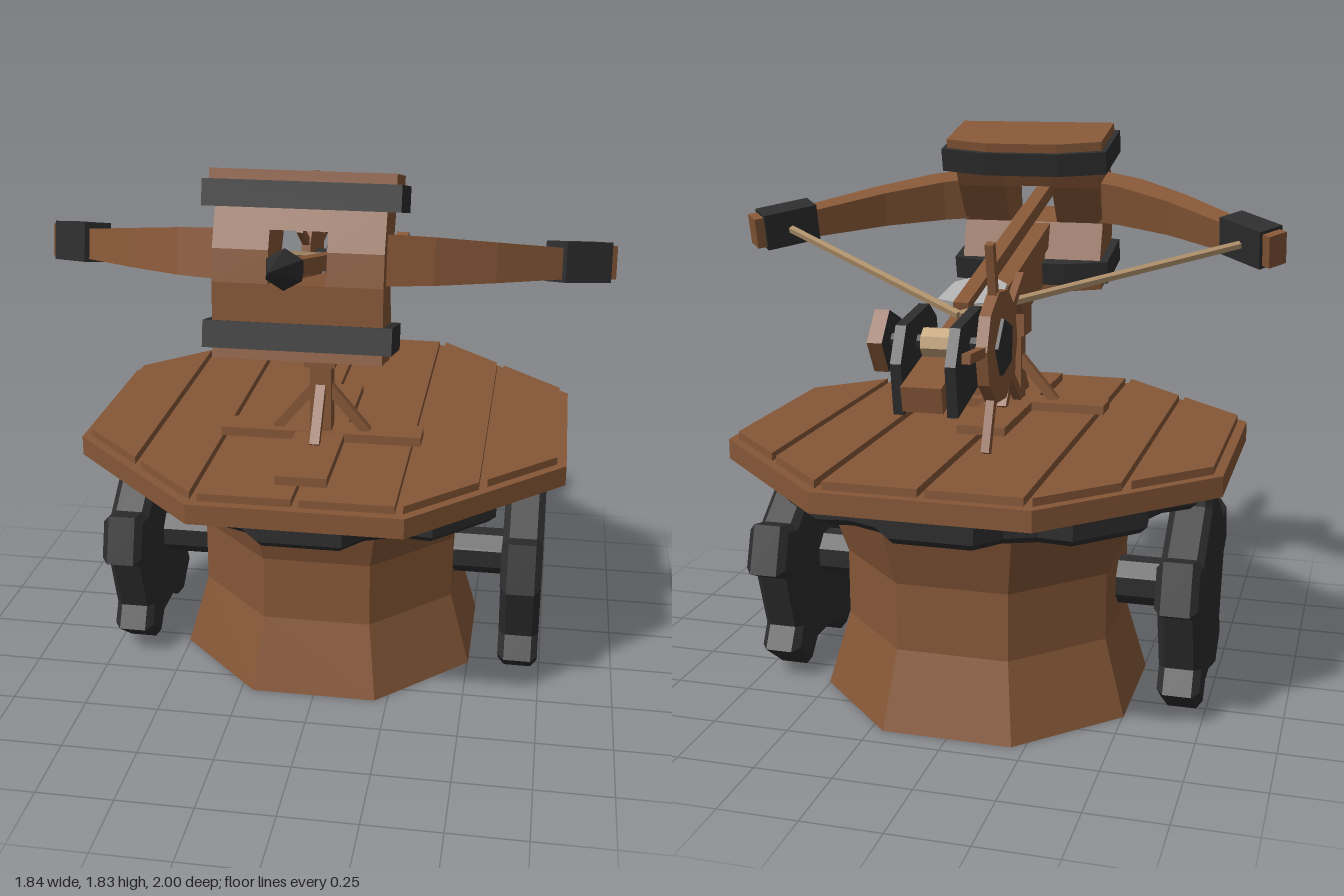
import * as THREE from 'three';

const mat = (name, color) => Object.assign(new THREE.MeshStandardMaterial({ color }), { name });
const wood = mat('wood', 0x865737);
const iron = mat('dark iron', 0x2d2d2d);
const rope = mat('rope', 0xa88b66);
const coil = mat('pale rope coil', 0xc4a57a);
const steel = mat('pale steel', 0xb2b2b2);

const V = (x, y, z) => new THREE.Vector3(x, y, z);

function add(parent, name, geo, material, x = 0, y = 0, z = 0) {
  const g = geo.index ? geo.toNonIndexed() : geo; // faceted normals
  g.computeVertexNormals();
  const m = new THREE.Mesh(g, material);
  m.name = name;
  m.position.set(x, y, z);
  parent.add(m);
  return m;
}

// Box given by its minimum and maximum on each axis
function block(parent, name, material, x0, x1, y0, y1, z0, z1) {
  return add(parent, name, new THREE.BoxGeometry(x1 - x0, y1 - y0, z1 - z0), material,
    (x0 + x1) / 2, (y0 + y1) / 2, (z0 + z1) / 2);
}

function extrude(points, depth, bevel) {
  const shape = new THREE.Shape(points.map(p => new THREE.Vector2(p[0], p[1])));
  const g = new THREE.ExtrudeGeometry(shape, {
    depth: depth - 2 * bevel, bevelEnabled: bevel > 0, bevelThickness: bevel,
    bevelSize: bevel, bevelOffset: -bevel, bevelSegments: 1,
  });
  return g.translate(0, 0, bevel - depth / 2);
}
// Side profile (z, y) given width along x
const sideSlab = (points, width, bevel = 0) => extrude(points, width, bevel).rotateY(-Math.PI / 2);
// Plan outline (x, z) given thickness along y
const flatSlab = (points, thick, bevel = 0) => extrude(points, thick, bevel).rotateX(Math.PI / 2);

// Toothed outline: half angles in degrees at tip and root
function gear(n, R, r, tip, root) {
  const pts = [];
  for (let i = 0; i < n; i++) {
    for (const [rad, off] of [[r, -root], [R, -tip], [R, tip], [r, root]]) {
      const a = Math.PI / 2 + i * 2 * Math.PI / n + off * Math.PI / 180;
      pts.push([rad * Math.cos(a), rad * Math.sin(a)]);
    }
  }
  return pts;
}

// Straight bar between two points
function rod(parent, name, material, a, b, r, sides = 4) {
  const d = b.clone().sub(a);
  const m = add(parent, name, new THREE.CylinderGeometry(r, r, d.length(), sides, 1, false, Math.PI / sides), material);
  m.position.copy(a).add(b).multiplyScalar(0.5);
  m.quaternion.setFromUnitVectors(V(0, 1, 0), d.normalize());
  return m;
}

// Cylinder lying along x
const axleGeo = (r, len, sides) => new THREE.CylinderGeometry(r, r, len, sides, 1, false, Math.PI / 2).rotateZ(Math.PI / 2);

function buildBase(root) {
  // Hollow octagonal pedestal
  const prof = [[0.545, 0], [0.47, 0.25], [0.47, 0.47], [0.545, 0.68], [0.52, 0.68], [0.445, 0.47], [0.445, 0.25], [0.52, 0], [0.545, 0]];
  add(root, 'pedestal', new THREE.LatheGeometry(prof.map(p => new THREE.Vector2(...p)), 8, Math.PI / 8), wood, 0, 0, -0.17);

  // Toothed wheels on an axle
  add(root, 'axle', axleGeo(0.08, 1.3, 8).rotateX(Math.PI / 8), iron, 0, 0.37, -0.115);
  for (const s of [-1, 1])
    add(root, 'toothedWheel', sideSlab(gear(5, 0.395, 0.315, 12, 17), 0.135, 0.022), iron, s * 0.675, 0.37, -0.115);

  // Turntable gear and its hub
  add(root, 'turntableGear', flatSlab(gear(8, 0.71, 0.645, 10.7, 18), 0.1, 0.022), iron, 0, 0.72, -0.115);
  add(root, 'turntableHub', new THREE.CylinderGeometry(0.2, 0.2, 0.1, 8), iron, 0, 0.75, -0.115);

  // Octagonal platform
  add(root, 'platform', new THREE.CylinderGeometry(0.866, 0.866, 0.065, 8, 1, false, Math.PI / 8), wood, 0, 0.8175, -0.12);

  // Planks trimmed to the octagon
  const reach = x => 0.77 - Math.max(0, x - 0.32);
  for (const s of [-1, 1]) {
    for (const [a, b] of [[0.012, 0.3], [0.325, 0.535], [0.56, 0.77]]) {
      const pts = [[s * a, reach(a)], [s * b, reach(b)], [s * b, -reach(b)], [s * a, -reach(a)]];
      add(root, 'plank', flatSlab(pts, 0.025), wood, 0, 0.8625, -0.12);
    }
  }
}

function buildStand(root) {
  block(root, 'crossFootSide', wood, -0.33, 0.33, 0.875, 0.905, 0.08, 0.185);
  block(root, 'crossFootLong', wood, -0.08, 0.08, 0.875, 0.904, -0.28, 0.55);
  block(root, 'post', wood, -0.035, 0.035, 0.9, 1.14, 0.105, 0.17);
  block(root, 'postHead', wood, -0.05, 0.05, 1.13, 1.23, 0.085, 0.19);
  for (const [dx, dz] of [[1, 0], [-1, 0], [0, 1], [0, -1]])
    rod(root, 'brace', wood, V(0.15 * dx, 0.9, 0.138 + 0.15 * dz), V(0.02 * dx, 1.055, 0.138 + 0.02 * dz), 0.022);
}

function buildHead(bow) {
  // Stock with deeper belly at the front
  block(bow, 'stock', wood, -0.06, 0.06, 0.03, 0.108, -1.02, 0.32);
  add(bow, 'stockBelly', sideSlab([[0.45, -0.085], [0.05, -0.088], [-0.08, -0.075], [-0.113, -0.01], [-0.113, 0.04], [0.45, 0.04]], 0.1), wood);

  // Curved housing with a window for the bolt
  const housing = [[0.46, -0.01], [0.485, 0.11], [0.49, 0.207], [0.46, 0.34], [0.23, 0.34], [0.255, 0.26], [0.313, 0.112], [0.24, -0.01]];
  for (const s of [-1, 1])
    add(bow, 'housingSide', sideSlab(housing, 0.165), wood, s * 0.1675, 0, 0);
  add(bow, 'housingSill', sideSlab([[0.46, -0.01], [0.485, 0.11], [0.313, 0.112], [0.24, -0.01]], 0.17), wood);
  add(bow, 'housingLintel', sideSlab([[0.477, 0.265], [0.46, 0.34], [0.23, 0.34], [0.252, 0.265]], 0.17), wood);

  // Iron bands and wooden boards above and below
  const plan = (w, front, back, cut) => [[-w, front], [w, front], [w, back + cut], [w * 0.45, back], [-w * 0.45, back], [-w, back + cut]];
  add(bow, 'upperBand', flatSlab(plan(0.29, 0.468, 0.17, 0.04), 0.078), iron, 0, 0.366, 0);
  add(bow, 'upperBoard', flatSlab(plan(0.273, 0.45, 0.185, 0.04), 0.035), wood, 0, 0.418, 0);
  add(bow, 'lowerBand', flatSlab(plan(0.278, 0.466, 0.2, 0.035), 0.08), iron, 0, -0.042, 0);
  add(bow, 'lowerBoard', flatSlab(plan(0.25, 0.45, 0.215, 0.035), 0.035), wood, 0, -0.095, 0);
}

function buildArms(bow) {
  // Stations along an arm: x, z, thickness, height
  const st = [[0.2, 0.385, 0.12, 0.15], [0.35, 0.325, 0.11, 0.14], [0.53, 0.21, 0.09, 0.12], [0.78, 0, 0.07, 0.09]];
  for (const s of [-1, 1]) {
    const g = new THREE.BoxGeometry(1, 1, 1, 3, 1, 1);
    const p = g.attributes.position;
    for (let i = 0; i < p.count; i++) {
      const [x, z, w, h] = st[Math.round((0.5 + s * p.getX(i)) * 3)];
      const off = p.getZ(i) * w;
      p.setXYZ(i, s * (x + off * 0.6), 0.19 + p.getY(i) * h, z + off * 0.8);
    }
    add(bow, 'bowArm', g, wood);

    const cap = add(bow, 'armCap', new THREE.BoxGeometry(0.19, 0.125, 0.095), iron, s * 0.8, 0.195, -0.012);
    const tip = add(bow, 'armTip', new THREE.BoxGeometry(0.05, 0.105, 0.072), wood, s * 0.876, 0.195, -0.08);
    cap.rotation.y = tip.rotation.y = s * 0.73;
    rod(bow, 'bowString', rope, V(s * 0.77, 0.19, -0.05), V(0, 0.155, -0.62), 0.014, 5);
  }
}

function buildBolt(bow) {
  const y = 0.163;
  block(bow, 'boltShaft', wood, -0.024, 0.024, y - 0.024, y + 0.024, -0.6, 0.55);
  const prof = [[0, 0.52], [0.03, 0.53], [0.058, 0.69], [0, 0.918]].map(p => new THREE.Vector2(...p));
  add(bow, 'boltHead', new THREE.LatheGeometry(prof, 6).rotateX(Math.PI / 2), iron, 0, y, 0);
  add(bow, 'boltVane', flatSlab([[0, -0.55], [0.1, -0.52], [0.085, -0.38], [0, -0.3], [-0.085, -0.38], [-0.1, -0.52]], 0.012), steel, 0, 0.155, 0);
}

function buildWinch(bow) {
  // Iron cheeks either side of the stock
  const cheek = [[-0.645, 0.006], [-0.645, 0.16], [-0.7, 0.223], [-0.911, 0.246], [-0.987, 0.16], [-1.0, 0.008]];
  for (const s of [-1, 1]) add(bow, 'winchCheek', sideSlab(cheek, 0.032), iron, s * 0.08, 0, 0);

  const winch = new THREE.Group();
  winch.name = 'winch';
  winch.position.set(0, 0.158, -0.825);
  bow.add(winch);
  add(winch, 'winchAxle', axleGeo(0.022, 0.34, 6), iron);
  add(winch, 'ropeCoil', axleGeo(0.045, 0.09, 8), coil);
  // Five-sided end knob with dark faces
  add(winch, 'endKnob', axleGeo(0.095, 0.045, 5), [wood, iron, iron], 0.165, 0, 0);
  // Spoked hand wheel
  add(winch, 'handWheel', axleGeo(0.165, 0.034, 10), wood, -0.172, 0, 0);
  add(winch, 'handWheelHub', axleGeo(0.085, 0.012, 5), iron, -0.193, 0, 0);
  for (let i = 0; i < 5; i++) {
    const a = i * 2 * Math.PI / 5;
    const spoke = add(winch, 'spoke', new THREE.BoxGeometry(0.024, 0.19, 0.028), wood, -0.172, 0.215 * Math.cos(a), 0.215 * Math.sin(a));
    spoke.rotation.x = a;
  }
}

export function createModel() {
  const root = new THREE.Group();
  root.name = 'siegeCrossbow';
  buildBase(root);
  buildStand(root);

  // Weapon tilted nose-up on the post
  const bow = new THREE.Group();
  bow.name = 'crossbow';
  bow.position.set(0, 1.3, 0.14);
  bow.rotation.x = -0.2356;
  root.add(bow);
  buildHead(bow);
  buildArms(bow);
  buildBolt(bow);
  buildWinch(bow);
  return root;
}
